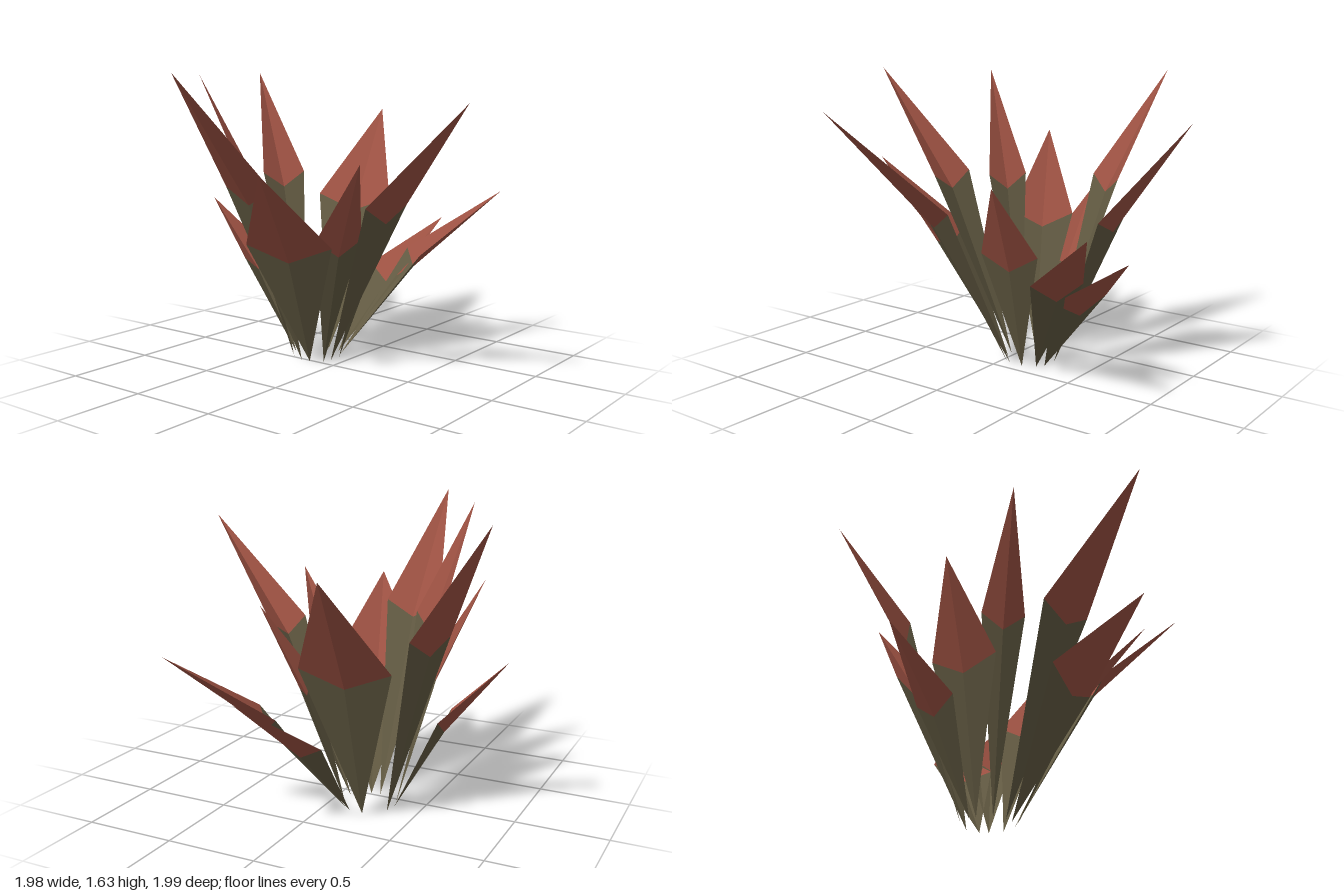
import * as THREE from 'three';

const stalkGreen = new THREE.MeshStandardMaterial({ color: 0x625a42, side: THREE.DoubleSide, flatShading: true });
stalkGreen.name = 'stalkGreen';
const tipRed = new THREE.MeshStandardMaterial({ color: 0x9c5142, side: THREE.DoubleSide, flatShading: true });
tipRed.name = 'tipRed';

// base x, z; tip x, y, z; width across the shoulders
const LEAVES = [
  [-0.21, 0.02, -0.21, 1.63, 0.99, 0.32],
  [-0.16, 0.01, 0.10, 1.14, 0.73, 0.48],
  [-0.09, -0.03, 0.48, 1.19, 0.42, 0.25],
  [-0.07, -0.07, 0.99, 1.49, 0.27, 0.27],
  [-0.07, -0.15, 0.38, 1.09, -0.27, 0.32],
  [-0.11, -0.22, 0.54, 0.94, -0.93, 0.28],
  [-0.15, -0.25, 0.14, 0.75, -0.93, 0.34],
  [-0.23, -0.26, -0.36, 1.40, -1.00, 0.475],
  [-0.34, -0.18, -0.99, 1.63, -0.53, 0.265],
  [-0.35, -0.10, -0.95, 0.88, -0.05, 0.26],
  [-0.34, -0.06, -0.75, 1.26, 0.13, 0.36],
  [-0.28, 0.00, -0.57, 1.62, 0.44, 0.23],
];

function facets(name, points, material) {
  const g = new THREE.BufferGeometry().setFromPoints(points);
  g.computeVertexNormals();
  const mesh = new THREE.Mesh(g, material);
  mesh.name = name;
  return mesh;
}

// A pointed leaf folded along its middle, with the keel on the underside
function makeLeaf([bx, bz, tx, ty, tz, width]) {
  const base = new THREE.Vector3(bx, 0, bz);
  const tip = new THREE.Vector3(tx, ty, tz);
  const shoulder = base.clone().lerp(tip, 0.45).setY(ty * 0.632);
  const across = new THREE.Vector3(tz - bz, 0, bx - tx).setLength(width / 2);
  const a = shoulder.clone().add(across);
  const b = shoulder.clone().sub(across);
  const keel = shoulder.clone();
  keel.y -= 0.09;

  const leaf = new THREE.Group();
  leaf.name = 'leaf';
  leaf.add(
    facets('leafStalk', [base, a, keel, base, keel, b], stalkGreen),
    facets('leafTip', [a, tip, keel, keel, tip, b], tipRed),
  );
  return leaf;
}

export function createModel() {
  const plant = new THREE.Group();
  plant.name = 'spikyPlant';
  for (const leaf of LEAVES) plant.add(makeLeaf(leaf));
  return plant;
}
